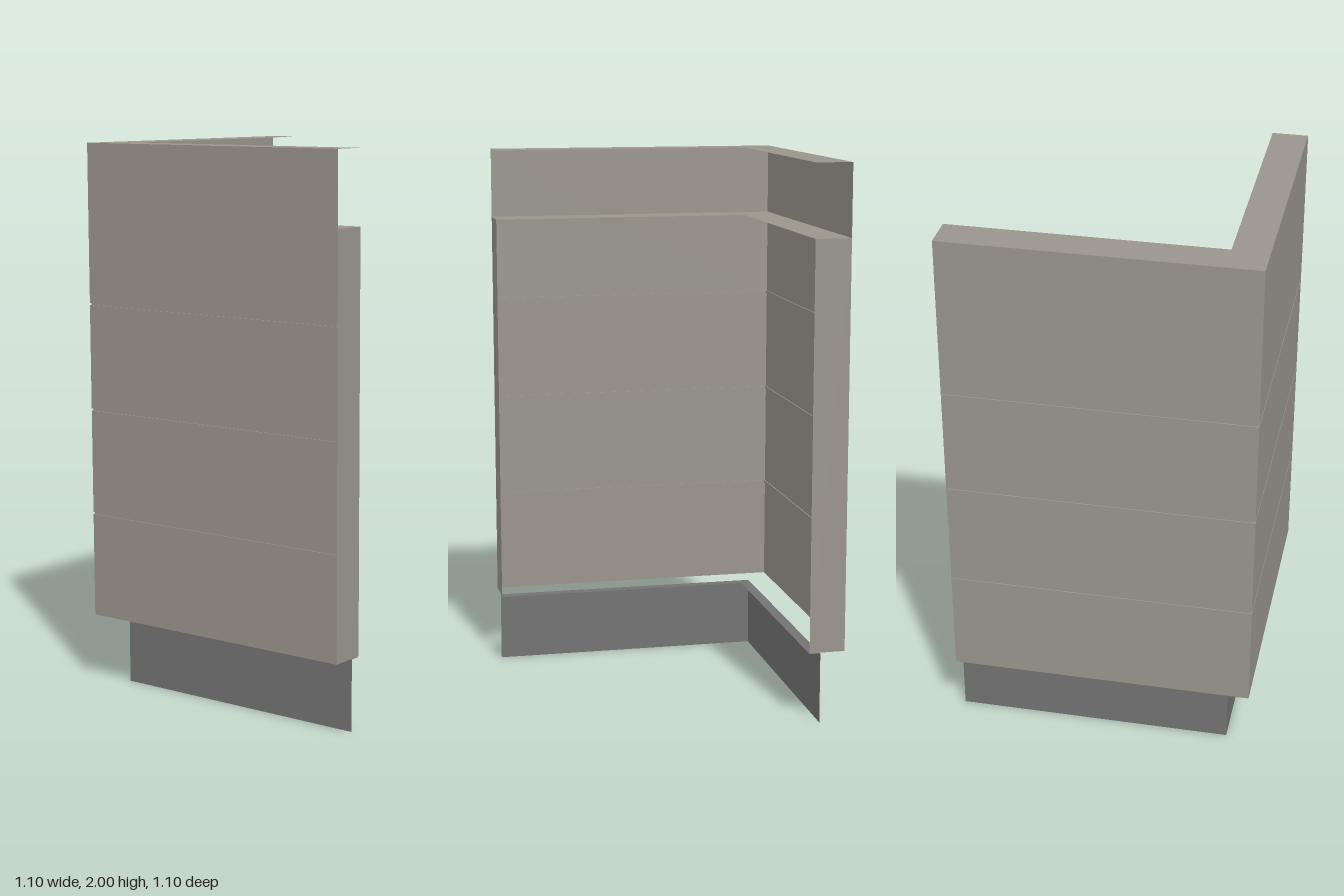
import * as THREE from 'three';

const OUT = 0.55;   // outer faces and open ends
const IN = 0.42;    // inner edge of top and ledge
const KICK = 0.46;  // recessed plinth face
const BASE = 0.262, LEDGE = 1.74, TOP = 2;

// Sweeps a profile of [offset, y] points along the L-shaped plan, mitred at the corner.
function sweepL(name, profile, material) {
  const pos = [];
  const quad = (a, b, c, d) => pos.push(...a, ...b, ...c, ...a, ...c, ...d);
  const path = ([d, y]) => [[-d, y, -OUT], [-d, y, d], [OUT, y, d]];
  for (let i = 0; i < profile.length - 1; i++) {
    const p = path(profile[i]), q = path(profile[i + 1]);
    for (let k = 0; k < 2; k++) quad(p[k], p[k + 1], q[k + 1], q[k]);
  }
  const geo = new THREE.BufferGeometry();
  geo.setAttribute('position', new THREE.Float32BufferAttribute(pos, 3));
  geo.computeVertexNormals();
  const mesh = new THREE.Mesh(geo, material);
  mesh.name = name;
  return mesh;
}

export function createModel() {
  const group = new THREE.Group();
  group.name = 'cornerCounter';
  const panel = new THREE.MeshStandardMaterial({ color: 0x99958b, side: THREE.DoubleSide });
  panel.name = 'warm grey panel';
  const plinth = new THREE.MeshStandardMaterial({ color: 0x737373, side: THREE.DoubleSide });
  plinth.name = 'dark grey plinth';

  // Outer walls with three shallow horizontal grooves
  const wall = [[OUT, BASE]];
  const half = 0.004, depth = 0.004;
  for (const y of [0.647, 1.034, 1.421]) {
    wall.push([OUT, y - half], [OUT - depth, y - half], [OUT - depth, y + half], [OUT, y + half]);
  }
  wall.push([OUT, TOP]);
  group.add(sweepL('outerWalls', wall, panel));

  // Counter top and the ledge below it
  group.add(sweepL('counterTop', [[OUT, TOP], [IN, TOP]], panel));
  group.add(sweepL('innerLedge', [[OUT, LEDGE], [IN, LEDGE]], panel));

  // Recessed plinth with a narrow lip turned inwards
  group.add(sweepL('plinth', [[KICK, 0], [KICK, BASE - 0.003], [IN, BASE - 0.003]], plinth));

  // Plates closing the two open ends
  const mid = (OUT + IN) / 2, midY = (BASE + LEDGE) / 2;
  const plate = new THREE.PlaneGeometry(OUT - IN, LEDGE - BASE);
  const frontEnd = new THREE.Mesh(plate, panel);
  frontEnd.name = 'frontEndPlate';
  frontEnd.position.set(OUT, midY, mid);
  frontEnd.rotation.y = Math.PI / 2;
  const backEnd = new THREE.Mesh(plate, panel);
  backEnd.name = 'backEndPlate';
  backEnd.position.set(-mid, midY, -OUT);
  backEnd.rotation.y = Math.PI;
  group.add(frontEnd, backEnd);

  return group;
}
